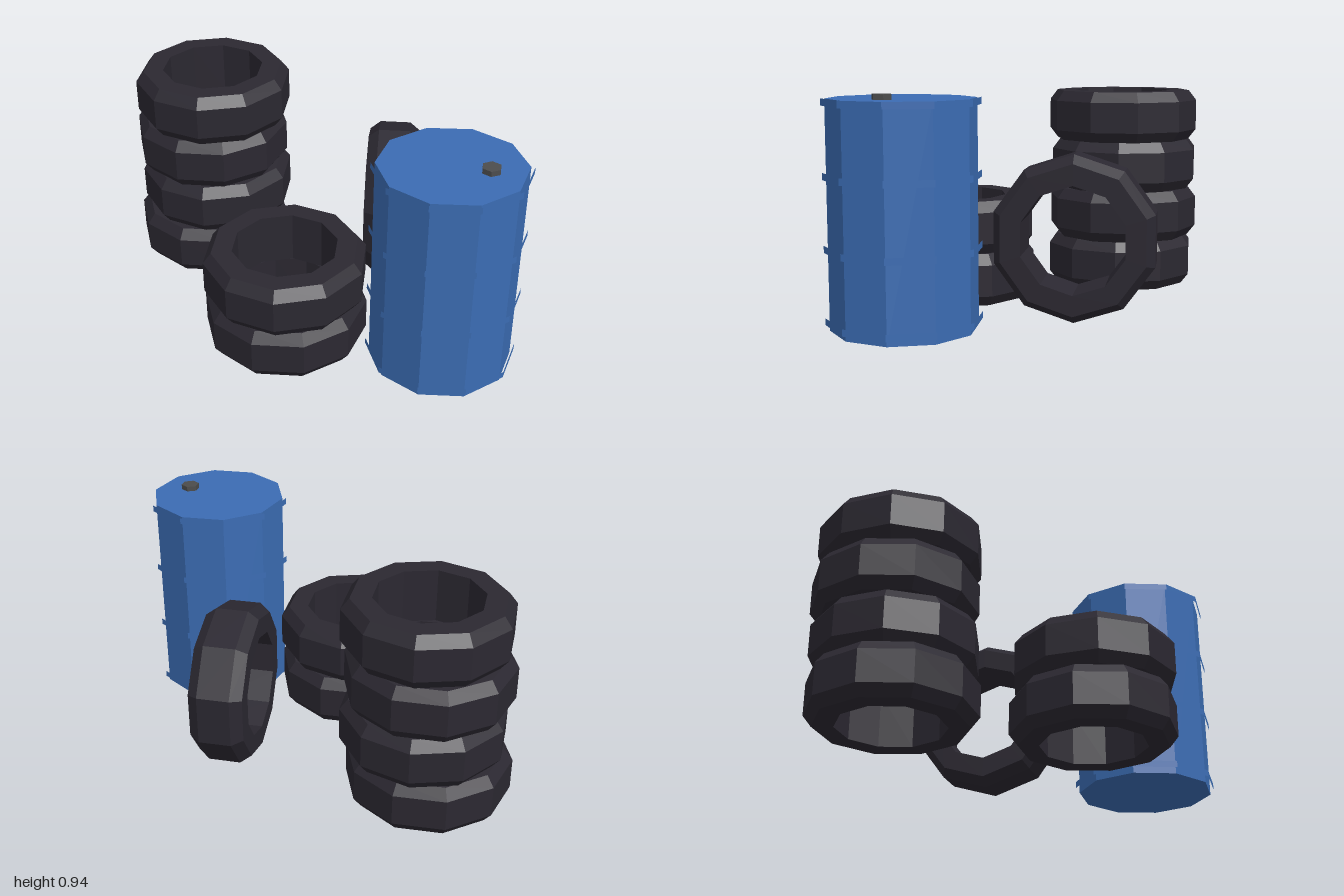
import * as THREE from 'three';

const SIDES = 10;
const TYRE_R = 0.345, TYRE_H = 0.227;

const material = (color) => new THREE.MeshStandardMaterial({ color, flatShading: true });

// Closed tyre section: inner wall, flat sidewalls, chamfered shoulders, flat tread
function tyreGeometry() {
  const h = TYRE_H / 2, tread = 0.068, shoulder = 0.31, inner = 0.223;
  const section = [
    [inner, -h], [shoulder, -h], [TYRE_R, -tread],
    [TYRE_R, tread], [shoulder, h], [inner, h], [inner, -h],
  ].map(([r, y]) => new THREE.Vector2(r, y));
  return new THREE.LatheGeometry(section, SIDES);
}

export function createModel() {
  const root = new THREE.Group();
  root.name = 'barrelAndTyres';

  const rubber = material(0x2b2831);
  const blue = material(0x3b6cb3);
  const metal = material(0x4c4c4c);
  const tyreGeo = tyreGeometry();

  const addTyre = (parent, name, x, y, z, degrees) => {
    const tyre = new THREE.Mesh(tyreGeo, rubber);
    tyre.name = name;
    tyre.position.set(x, y, z);
    tyre.rotation.y = THREE.MathUtils.degToRad(degrees);
    parent.add(tyre);
  };

  // Stacks of tyres, each slightly shifted and turned: [x, z, degrees]
  const stacks = {
    tallTyreStack: [
      [-0.656, 0.0, 17], [-0.64, -0.024, -4], [-0.656, -0.02, 16], [-0.636, -0.022, -4],
    ],
    shortTyreStack: [[0.094, 0.338, 17], [0.099, 0.342, -3]],
  };
  for (const [name, tyres] of Object.entries(stacks)) {
    const stack = new THREE.Group();
    stack.name = name;
    tyres.forEach(([x, z, deg], i) =>
      addTyre(stack, `tyre${i + 1}`, x, TYRE_H * (i + 0.5), z, deg));
    root.add(stack);
  }

  // Single tyre standing on its tread
  const standing = new THREE.Group();
  standing.name = 'standingTyre';
  standing.position.set(0.117, TYRE_R, -0.383);
  standing.rotation.set(0, THREE.MathUtils.degToRad(34), Math.PI / 2);
  addTyre(standing, 'tyre', 0, 0, 0, 90);
  root.add(standing);

  // Barrel with open hoops and a filler cap
  const barrel = new THREE.Group();
  barrel.name = 'barrel';
  barrel.position.set(0.683, 0, 0.028);
  const addCylinder = (name, r, h, sides, open, mat, x, y, z) => {
    const geo = new THREE.CylinderGeometry(r, r, h, sides, 1, open);
    const mesh = new THREE.Mesh(geo, mat);
    mesh.name = name;
    mesh.position.set(x, y, z);
    mesh.rotation.y = Math.PI / 2;
    barrel.add(mesh);
  };
  addCylinder('barrelBody', 0.298, 0.918, SIDES, false, blue, 0, 0.459, 0);
  [0.037, 0.328, 0.616, 0.905].forEach((y, i) =>
    addCylinder(`hoop${i + 1}`, 0.314, 0.028, SIDES, true, blue, 0, y, 0));
  addCylinder('fillerCap', 0.04, 0.03, 6, false, metal, 0.142, 0.925, -0.05);
  root.add(barrel);

  return root;
}
